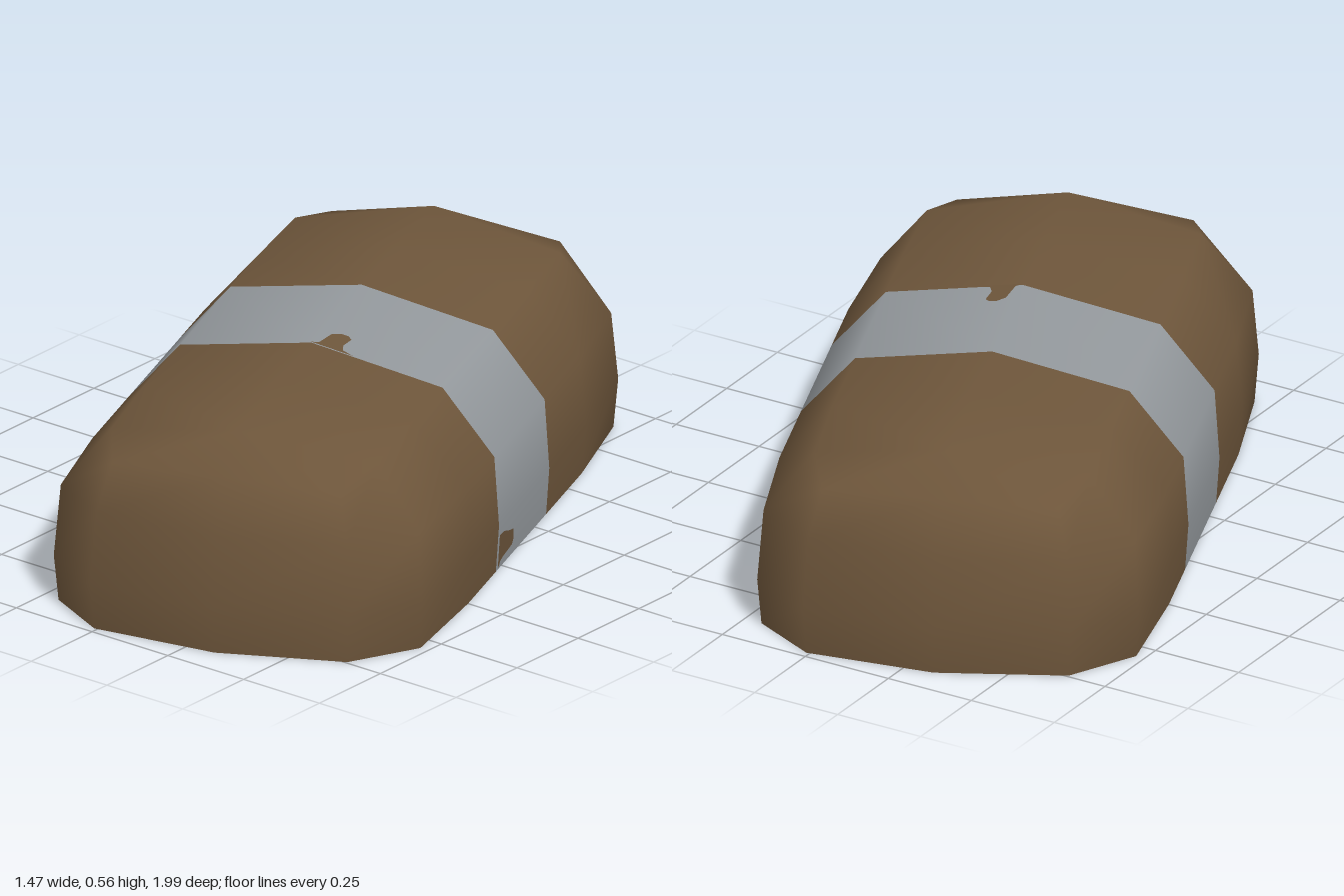
import * as THREE from 'three';
import { mergeVertices } from 'three/addons/utils/BufferGeometryUtils.js';

const brown = new THREE.MeshStandardMaterial({ color: 0x6e563b, side: THREE.DoubleSide });
brown.name = 'brown wrap';
const grey = new THREE.MeshStandardMaterial({ color: 0x94999d, side: THREE.DoubleSide });
grey.name = 'grey tape';

// The tape crosses the body at a slight slant
const tapeFront = u => 0.197 + 0.067 * u;
const tapeBack = u => -0.205 + 0.07 * u;

// One loop from a quarter outline: end middle, end corner, side corner, side ([u, v, y] each)
function makeLoop([end, c1, c2, side]) {
  const at = ([u, v, y], su, sv) => [u * su, y, v * sv];
  const w = side[0], y = side[2];
  return [
    at(end, 1, 1), at(c1, 1, 1), at(c2, 1, 1), at(side, 1, 1),
    [w, y, tapeFront(w)], [w, y, tapeBack(w)],
    at(side, 1, -1), at(c2, 1, -1), at(c1, 1, -1), at(end, 1, -1),
    at(c1, -1, -1), at(c2, -1, -1), at(side, -1, -1),
    [-w, y, tapeBack(-w)], [-w, y, tapeFront(-w)],
    at(side, -1, 1), at(c2, -1, 1), at(c1, -1, 1),
  ];
}

// Rounded shell, open underneath; the loops close on a ridge line at the top
function bodyGeometry() {
  const outline = [[0, 0.985], [0.35, 0.933], [0.5, 0.782], [0.522, 0.46]];
  const loops = [[0, 0.983], [0.13, 1], [0.32, 0.975]].map(([y, k]) =>
    makeLoop(outline.map(([u, v]) => [u * k, v * k, y])));
  loops.push(makeLoop([[0, 0.915, 0.47], [0.31, 0.875, 0.45], [0.36, 0.73, 0.483], [0.365, 0.46, 0.49]]));
  loops.push(makeLoop([[0, 0.78, 0.545], [0, 0.78, 0.545], [0, 0.78, 0.545], [0, 0.46, 0.556]]));

  const n = loops[0].length;
  const wrap = [], tape = [];
  for (let r = 0; r < loops.length - 1; r++) {
    for (let i = 0; i < n; i++) {
      const j = (i + 1) % n, a = r * n + i, b = r * n + j;
      const target = i === 4 || i === 13 ? tape : wrap;
      target.push(a, b, b + n, a, b + n, a + n);
    }
  }
  const geo = new THREE.BufferGeometry();
  geo.setAttribute('position', new THREE.Float32BufferAttribute(loops.flat(2), 3));
  geo.setIndex([...wrap, ...tape]);
  geo.addGroup(0, wrap.length, 0);
  geo.addGroup(wrap.length, tape.length, 1);
  const merged = mergeVertices(geo);
  merged.computeVertexNormals();
  return merged;
}

// Flat patch from 2D points, laid on the body by a rule
function patch(name, points, place) {
  const geo = new THREE.ShapeGeometry(new THREE.Shape(points.map(p => new THREE.Vector2(...p))));
  const pos = geo.attributes.position;
  for (let i = 0; i < pos.count; i++) pos.setXYZ(i, ...place(pos.getX(i), pos.getY(i)));
  geo.computeVertexNormals();
  const mesh = new THREE.Mesh(geo, brown);
  mesh.name = name;
  return mesh;
}

export function createModel() {
  const group = new THREE.Group();
  group.name = 'wrapped package';

  const body = new THREE.Mesh(bodyGeometry(), [brown, grey]);
  body.name = 'body with tape';
  group.add(body);

  // Torn notch in the tape on top (u, v)
  group.add(patch('top tape notch',
    [[0.0, 0.198], [0.018, 0.187], [0.03, 0.12], [0.05, 0.104], [0.07, 0.105], [0.083, 0.12], [0.076, 0.165], [0.085, 0.192], [0.115, 0.206]],
    (u, v) => [u, 0.559 - 0.181 * u, v]));

  // Torn notch in the tape low on the left side (v, y)
  group.add(patch('side tape notch',
    [[0.234, 0.105], [0.2, 0.103], [0.15, 0.085], [0.12, 0.078], [0.113, 0.05], [0.125, 0.035], [0.19, 0.03], [0.215, 0.025], [0.232, 0.008]],
    (v, y) => [0.518 + 0.068 * y, y, v]));

  group.rotation.y = THREE.MathUtils.degToRad(20);
  const root = new THREE.Group();
  root.name = 'package';
  root.add(group);
  return root;
}
